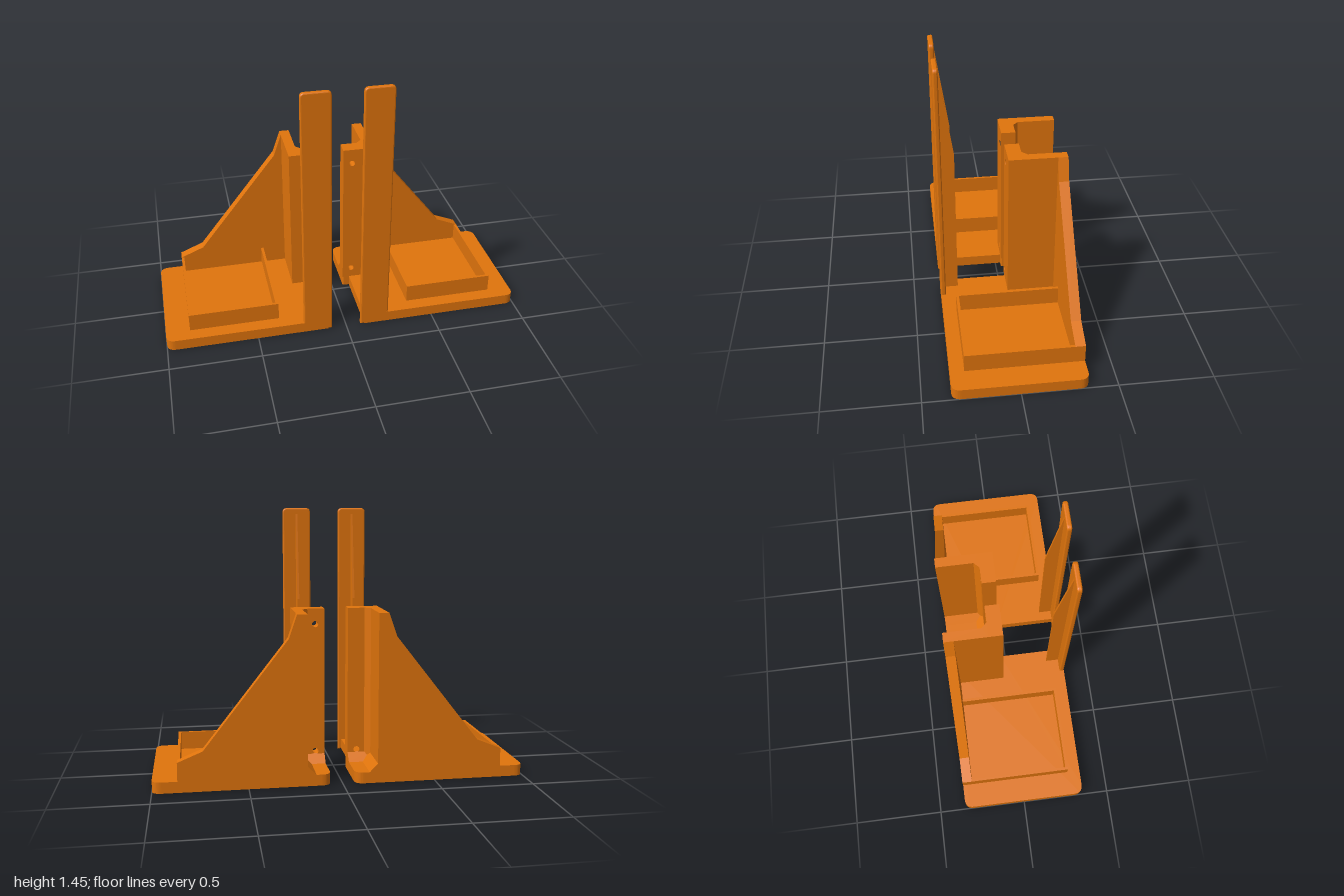
import * as THREE from 'three';

const material = new THREE.MeshStandardMaterial({ color: 0xe0740c });

// Outline from [a, b, cornerRadius] points; rounded corners use a quadratic curve
function outline(points, holes = []) {
  const shape = new THREE.Shape();
  const n = points.length;
  const towards = (p, q, r) => {
    const d = Math.hypot(q[0] - p[0], q[1] - p[1]);
    return [p[0] + (q[0] - p[0]) * r / d, p[1] + (q[1] - p[1]) * r / d];
  };
  points.forEach((p, i) => {
    const r = p[2] || 0;
    const a = r ? towards(p, points[(i + n - 1) % n], r) : p;
    if (i === 0) shape.moveTo(a[0], a[1]);
    else shape.lineTo(a[0], a[1]);
    if (r) {
      const b = towards(p, points[(i + 1) % n], r);
      shape.quadraticCurveTo(p[0], p[1], b[0], b[1]);
    }
  });
  shape.closePath();
  for (const [x, y, r] of holes) {
    shape.holes.push(new THREE.Path().absarc(x, y, r, 0, Math.PI * 2, true));
  }
  return shape;
}

const extrude = (shape, depth, bevel = 0) => new THREE.ExtrudeGeometry(shape, {
  depth: depth - 2 * bevel, curveSegments: 10, bevelEnabled: bevel > 0,
  bevelSize: bevel, bevelThickness: bevel, bevelOffset: -bevel, bevelSegments: 4,
}).translate(0, 0, bevel);

// One stand; s = 1 for the +x side, -1 for its mirror image
function createStand(s) {
  const stand = new THREE.Group();
  const add = (name, geometry) => {
    const mesh = new THREE.Mesh(geometry, material);
    mesh.name = name;
    stand.add(mesh);
  };
  const flip = (pts) => pts.map(([x, ...rest]) => [s * x, ...rest]);

  // x-z plan raised from y0 to y1
  const plan = (pts, y0, y1) => extrude(outline(pts.map(([x, z, r]) => [s * x, -z, r])), y1 - y0)
    .rotateX(-Math.PI / 2).translate(0, y0, 0);
  // x-y profile from z0 to z1
  const front = (pts, z0, z1, holes = [], bevel = 0) =>
    extrude(outline(flip(pts), flip(holes)), z1 - z0, bevel).translate(0, 0, z0);
  // z-y profile from x0 to x1
  const side = (pts, x0, x1) => extrude(outline(pts.map(([z, y]) => [-z, y])), x1 - x0)
    .rotateY(Math.PI / 2).translate(s > 0 ? x0 : -x1, 0, 0);
  const box = (x0, x1, y0, y1, z0, z1) => new THREE.BoxGeometry(x1 - x0, y1 - y0, z1 - z0)
    .translate(s * (x0 + x1) / 2, (y0 + y1) / 2, (z0 + z1) / 2);

  // Base plate with rounded corners
  add('basePlate', plan([
    [0.065, -0.35, 0.05], [1, -0.35, 0.05], [1, 0.35, 0.05],
    [0.103, 0.35], [0.103, -0.03], [0.065, -0.03, 0.01],
  ], 0, 0.06));

  // Upright bracket: side wall with a chamfered inner corner, and a drilled front wall
  add('bracketSideWall', plan([
    [0.188, -0.35], [0.242, -0.35], [0.242, -0.11], [0.158, -0.11], [0.188, -0.14],
  ], 0.06, 0.915));
  add('bracketFrontWall', front(
    [[0.065, 0.06], [0.242, 0.06], [0.242, 0.915], [0.065, 0.915]], -0.11, -0.03,
    [[0.115, 0.83, 0.017], [0.115, 0.12, 0.017]],
  ));

  // Chamfers where the bracket walls meet the floor
  add('sideFloorChamfer', front([[0.19, 0.06], [0.143, 0.06], [0.19, 0.107]], -0.35, -0.11));
  add('frontFloorChamfer', side([[-0.108, 0.06], [-0.155, 0.06], [-0.108, 0.107]], 0.065, 0.19));

  // Sloping gusset along the back
  add('gusset', front([
    [0.24, 0.06], [0.868, 0.06], [0.868, 0.16], [0.735, 0.215],
    [0.285, 0.79], [0.242, 0.915], [0.24, 0.915],
  ], -0.35, -0.295));

  // Open tray, closed at the back by the gusset
  add('trayInnerWall', box(0.372, 0.387, 0.06, 0.16, -0.3, 0.275));
  add('trayOuterWall', box(0.853, 0.868, 0.06, 0.16, -0.3, 0.275));
  add('trayFrontWall', box(0.387, 0.853, 0.06, 0.16, 0.26, 0.275));

  // Tall front post with softened edges and a tapering rib behind it
  add('frontPost', front([
    [0.082, 0], [0.242, 0], [0.242, 1.45, 0.025], [0.082, 1.45, 0.025],
  ], 0.323, 0.35, [], 0.008));
  add('postRib', side([[0.33, 0.05], [0.25, 0.05], [0.25, 0.93], [0.325, 1.43], [0.33, 1.43]], 0.157, 0.168));
  return stand;
}

export function createModel() {
  const model = new THREE.Group();
  model.name = 'pairOfStands';
  for (const s of [1, -1]) {
    const stand = createStand(s);
    stand.name = s > 0 ? 'leftStand' : 'rightStand';
    model.add(stand);
  }
  return model;
}
